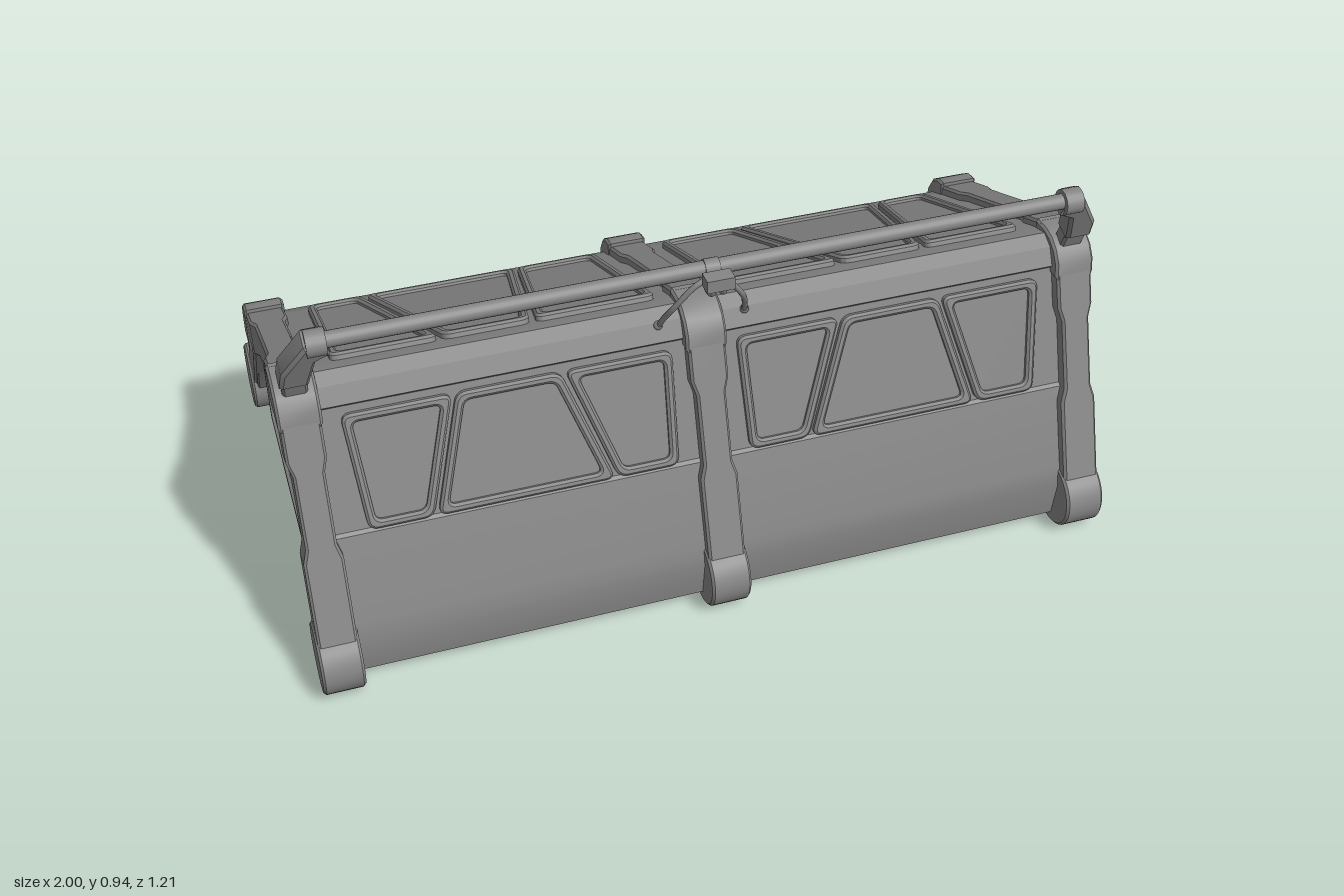
import * as THREE from 'three';
import { toCreasedNormals } from 'three/addons/utils/BufferGeometryUtils.js';

const V = (x, y) => new THREE.Vector2(x, y);
const material = new THREE.MeshStandardMaterial({ color: 0x868686 });

// Shift a path (or closed loop) to its left by d
function offset(pts, d, closed) {
  const n = pts.length;
  return pts.map((p, i) => {
    const prev = closed || i > 0 ? pts[(i + n - 1) % n] : null;
    const next = closed || i < n - 1 ? pts[(i + 1) % n] : null;
    const a = (prev ? p.clone().sub(prev) : next.clone().sub(p)).normalize();
    const b = (next ? next.clone().sub(p) : a.clone()).normalize();
    const na = V(-a.y, a.x), nb = V(-b.y, b.x);
    const m = na.clone().add(nb).normalize();
    return p.clone().addScaledVector(m, d / Math.max(0.45, m.dot(na)));
  });
}

// Polygon with rounded corners
function rounded(pts, r) {
  const s = new THREE.Shape();
  pts.forEach((p, i) => {
    const toward = (q) => p.clone().addScaledVector(q.clone().sub(p).normalize(), r);
    const a = toward(pts[(i + pts.length - 1) % pts.length]);
    const b = toward(pts[(i + 1) % pts.length]);
    if (i) s.lineTo(a.x, a.y); else s.moveTo(a.x, a.y);
    s.quadraticCurveTo(p.x, p.y, b.x, b.y);
  });
  s.closePath();
  return s;
}

// Extrusion centred on its depth with chamfered edges; total thickness includes the chamfer
function slab(shape, depth, bevel = 0) {
  const g = new THREE.ExtrudeGeometry(shape, {
    depth: depth - 2 * bevel, bevelEnabled: bevel > 0, bevelSize: bevel, bevelOffset: -bevel,
    bevelThickness: bevel, bevelSegments: 1, curveSegments: 16,
  });
  g.translate(0, 0, -(depth - 2 * bevel) / 2);
  return toCreasedNormals(g, 0.5);
}

// Slab whose shape is a (z, y) profile and whose thickness runs along x
const profileSlab = (shape, width, x, bevel = 0) =>
  slab(shape, width, bevel).rotateY(-Math.PI / 2).translate(x, 0, 0);

// Local frame on a sloping face: x across, y from a to b, z outward; a and b are (z, y)
function slope(a, b) {
  const u = new THREE.Vector3(0, b.y - a.y, b.x - a.x).normalize();
  const x = new THREE.Vector3(1, 0, 0);
  return new THREE.Matrix4().makeBasis(x, u, x.clone().cross(u)).setPosition(0, a.y, a.x);
}

function add(parent, name, geometry) {
  const m = new THREE.Mesh(geometry, material);
  m.name = name;
  parent.add(m);
}

// Raised rim with a pane set inside it
function framedWindow(parent, name, corners, rim, place) {
  const pts = THREE.ShapeUtils.isClockWise(corners) ? corners.slice().reverse() : corners;
  const ring = rounded(pts, 0.025);
  ring.holes.push(rounded(offset(pts, rim, true), 0.018));
  const group = new THREE.Group();
  group.name = name;
  add(group, 'windowRim', place(slab(ring, 0.034, 0.006)));
  add(group, 'windowPane', place(slab(rounded(offset(pts, rim * 0.6, true), 0.018), 0.008)));
  parent.add(group);
}

// Strap lying on a slope; widths are [position 0..1, half width]
function strap(a, b, depth, widths, x) {
  const len = a.distanceTo(b);
  const right = widths.map(([t, w]) => V(w, t * len));
  const left = widths.map(([t, w]) => V(-w, t * len)).reverse();
  return slab(new THREE.Shape([...right, ...left]), depth, 0.006)
    .translate(x, 0, -depth / 2).applyMatrix4(slope(a, b));
}

export function createModel() {
  const model = new THREE.Group();
  model.name = 'shelter';

  // Hollow shell, open underneath
  const outer = [
    V(0.527, 0.03), V(0.539, 0.13), V(0.527, 0.185), V(0.455, 0.39), V(0.446, 0.396),
    V(0.348, 0.685), V(0.357, 0.695), V(0.335, 0.738), V(0.3, 0.757), V(0.26, 0.745),
    V(-0.27, 0.51), V(-0.315, 0.49), V(-0.345, 0.455), V(-0.362, 0.405), V(-0.5, 0.2),
    V(-0.512, 0.14), V(-0.49, 0.09),
  ];
  const shell = new THREE.Shape([...outer, ...offset(outer, 0.014, false).reverse()]);
  add(model, 'shell', profileSlab(shell, 1.88, 0));

  // Windows: [low x0, low x1, high x0, high x1], mirrored on both halves
  const frontSlope = slope(V(0.517, 0.18), V(0.348, 0.685));
  const roofSlope = slope(V(0.26, 0.745), V(-0.27, 0.51));
  const rows = [
    ['frontWindow', frontSlope, 0.226, 0.515,
      [[0.09, 0.24, 0.08, 0.338], [0.248, 0.674, 0.35, 0.594], [0.684, 0.836, 0.604, 0.86]]],
    ['roofWindow', roofSlope, 0.006, 0.56,
      [[0.085, 0.375, 0.09, 0.3], [0.39, 0.592, 0.308, 0.695], [0.605, 0.855, 0.706, 0.845]]],
  ];
  for (const [name, matrix, v0, v1, list] of rows)
    for (const s of [-1, 1])
      for (const [a, b, c, d] of list)
        framedWindow(model, name, [V(s * a, v0), V(s * b, v0), V(s * d, v1), V(s * c, v1)], 0.021,
          (g) => g.applyMatrix4(matrix));

  // Three ribs: feet, straps and corner caps; the middle one is shallow inside the shell
  const notch = (a, b, w) => [[0, w], [a, w], [a + 0.06, w - 0.01], [b - 0.06, w - 0.01], [b, w], [1, w]];
  const topArc = [V(0.385, 0.67), V(0.378, 0.712), V(0.357, 0.742), V(0.328, 0.761),
    V(0.295, 0.768), V(0.25, 0.766)];
  const backArc = [V(-0.26, 0.55), V(-0.295, 0.545), V(-0.325, 0.525), V(-0.345, 0.49), V(-0.357, 0.42)];
  for (const x of [-0.95, 0, 0.95]) {
    const rib = new THREE.Group();
    rib.name = x ? 'endRib' : 'middleRib';
    const depth = x ? 0.085 : 0.045;
    const topCap = new THREE.Shape([...topArc, ...(x ? [V(0.25, 0.67)] : [V(0.25, 0.715), V(0.34, 0.67)])]);
    const backCap = new THREE.Shape([...backArc, ...(x ? [V(-0.26, 0.42)] : [V(-0.32, 0.42), V(-0.26, 0.49)])]);
    add(rib, 'frontStrap', strap(V(0.575, 0.13), V(0.38, 0.69), depth, notch(0.42, 0.84, 0.046), x));
    add(rib, 'roofStrap', strap(V(0.27, 0.77), V(-0.28, 0.531), depth, notch(0.16, 0.8, 0.047), x));
    add(rib, 'backStrap', strap(V(-0.335, 0.455), V(-0.545, 0.17), depth, [[0, 0.043], [1, 0.043]], x));
    add(rib, 'topCap', profileSlab(topCap, 0.1, x, 0.006));
    add(rib, 'backCap', profileSlab(backCap, 0.1, x, 0.006));
    for (const [z, y] of [[0.515, 0.09], [-0.515, 0.147]]) {
      const disc = new THREE.Shape().absarc(z, y, 0.089, 0, Math.PI * 2);
      add(rib, 'foot', profileSlab(disc, 0.1, x, 0.006));
    }
    model.add(rib);
  }

  // End walls with a large framed window
  const wall = [V(0.47, 0.04), V(0.27, 0.12), V(-0.24, 0.12), V(-0.48, 0.075), V(-0.49, 0.2),
    V(-0.32, 0.46), V(-0.27, 0.51), V(0.26, 0.735), V(0.34, 0.69), V(0.52, 0.17)];
  const opening = [V(0.297, 0.642), V(0.297, 0.185), V(-0.262, 0.195), V(-0.262, 0.39)];
  // Arched band filling the ribs sideways, with a stepped inner edge
  const bandOuter = [V(0.565, 0.14), V(0.378, 0.67), V(0.335, 0.75), V(0.26, 0.76), V(-0.27, 0.525),
    V(-0.35, 0.42), V(-0.53, 0.175)];
  const bandInner = [V(-0.435, 0.155), V(-0.28, 0.415), V(-0.256, 0.44), V(-0.2, 0.45), V(-0.16, 0.488),
    V(-0.094, 0.513), V(-0.02, 0.55), V(0.085, 0.592), V(0.15, 0.62), V(0.263, 0.657), V(0.3, 0.64),
    V(0.345, 0.49), V(0.385, 0.42), V(0.457, 0.155)];
  for (const s of [-1, 1]) {
    const end = new THREE.Shape(wall);
    end.holes.push(rounded(offset(opening.slice().reverse(), 0.01, true), 0.025));
    add(model, 'endWall', profileSlab(end, 0.036, s * 0.945));
    add(model, 'endBand', profileSlab(new THREE.Shape([...bandOuter, ...bandInner]), 0.072, s * 0.95, 0.004));
    framedWindow(model, 'endWindow', opening, 0.027,
      (g) => g.scale(1, 1, 1.4).rotateY(-Math.PI / 2).translate(s * 0.95, 0, 0));
  }

  // Carrying bar with a bent arm on a slimmer stem at each end
  const bar = new THREE.CylinderGeometry(0.019, 0.019, 1.78, 20).rotateZ(Math.PI / 2);
  add(model, 'handleBar', bar.translate(0, 0.916, 0.398));
  const arm = [V(0.984, 0.055), V(0.978, 0.11), V(0.925, 0.205), V(0.878, 0.205), V(0.868, 0.165),
    V(0.9, 0.145), V(0.915, 0.075), V(0.918, 0.055)];
  const stem = [V(0.978, -0.03), V(0.978, 0.08), V(0.92, 0.08), V(0.92, -0.03)];
  const armSlope = slope(V(0.328, 0.74), V(0.402, 0.93));
  for (const s of [-1, 1]) {
    const mirrored = (pts) => new THREE.Shape(pts.map((p) => V(p.x * s, p.y)));
    add(model, 'handleArm', slab(mirrored(arm), 0.06, 0.008).applyMatrix4(armSlope));
    add(model, 'handleStem', slab(mirrored(stem), 0.042, 0.006).applyMatrix4(armSlope));
    const hub = new THREE.CylinderGeometry(0.032, 0.032, 0.045, 20).rotateZ(Math.PI / 2);
    add(model, 'handleHub', hub.translate(s * 0.897, 0.913, 0.398));
  }

  // Small box in front of the bar and its clip
  add(model, 'sensorBox', new THREE.BoxGeometry(0.066, 0.032, 0.038).translate(0, 0.914, 0.451));
  add(model, 'sensorClip', new THREE.CylinderGeometry(0.022, 0.022, 0.035, 16)
    .rotateZ(Math.PI / 2).translate(0, 0.916, 0.398));
  const tube = (pts, r) => new THREE.TubeGeometry(
    new THREE.CatmullRomCurve3(pts.map((p) => new THREE.Vector3(...p))), 24, r, 8);
  // Bent pipes and the two cables running down to the ridge
  for (const s of [-1, 1]) {
    add(model, 'sensorPipe', tube([[s * 0.014, 0.905, 0.454], [s * 0.014, 0.882, 0.45],
      [s * 0.014, 0.872, 0.432], [s * 0.014, 0.872, 0.41], [s * 0.014, 0.885, 0.398]], 0.007));
    add(model, 'cable', tube([[s * 0.012, 0.888, 0.402], [s * 0.04, 0.872, 0.402], [s * 0.082, 0.815, 0.388],
      [s * 0.098, 0.77, 0.362], [s * 0.106, 0.728, 0.338]], 0.007));
    add(model, 'cableSocket', new THREE.SphereGeometry(0.011, 12, 8).translate(s * 0.106, 0.733, 0.339));
  }
  return model;
}
